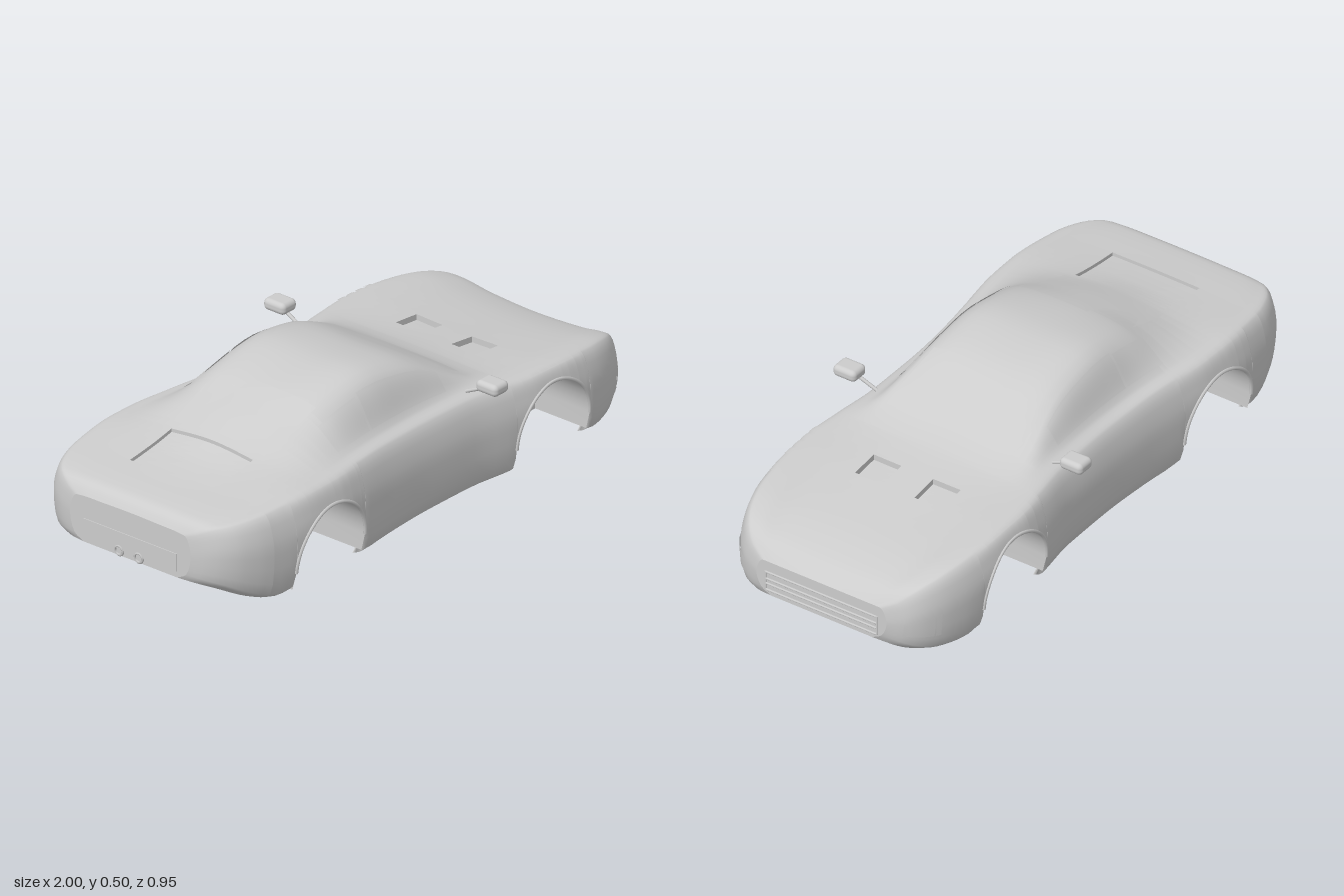
import * as THREE from 'three';
import { RoundedBoxGeometry } from 'three/addons/geometries/RoundedBoxGeometry.js';

const grey = new THREE.MeshStandardMaterial({ color: 0xcccccc, side: THREE.DoubleSide });
grey.name = 'body grey';

// smooth monotone interpolation through [x, value] pairs
function curve(p) {
  const n = p.length;
  const sec = i => (p[i + 1][1] - p[i][1]) / (p[i + 1][0] - p[i][0]);
  const slope = p.map((_, i) => {
    if (i === 0) return sec(0);
    if (i === n - 1) return sec(n - 2);
    const a = sec(i - 1), b = sec(i);
    return a * b <= 0 ? 0 : 2 * a * b / (a + b);
  });
  return x => {
    let i = 0;
    while (i < n - 2 && x > p[i + 1][0]) i++;
    const h = p[i + 1][0] - p[i][0], t = (x - p[i][0]) / h, t2 = t * t, t3 = t2 * t;
    return p[i][1] * (2 * t3 - 3 * t2 + 1) + slope[i] * h * (t3 - 2 * t2 + t)
      + p[i + 1][1] * (3 * t2 - 2 * t3) + slope[i + 1] * h * (t3 - t2);
  };
}

// lengthwise curves: half width, lower edge, fender, belt, roof edge and centre line
const width = curve([[-1, .22], [-.98, .295], [-.95, .345], [-.9, .385], [-.8, .42], [-.6, .44], [-.5, .438], [-.35, .42],
  [-.2, .402], [0, .392], [.2, .395], [.35, .415], [.5, .432], [.6, .432], [.75, .42], [.85, .395], [.92, .36], [.97, .31], [1, .23]]);
const sill = curve([[-1, .12], [-.95, .1], [-.85, .05], [-.75, .02], [-.7, .025], [-.36, .012], [-.3, .005], [.3, .005],
  [.72, .012], [.78, .002], [.88, .01], [.95, .03], [1, .062]]);
const fender = curve([[-1, .262], [-.97, .297], [-.95, .307], [-.8, .322], [-.6, .332], [-.3, .328], [-.1, .32], [.2, .315],
  [.4, .31], [.6, .303], [.8, .283], [.9, .26], [.95, .233], [1, .172]]);
const belt = curve([[-1, .268], [-.97, .305], [-.95, .314], [-.8, .33], [-.6, .343], [-.3, .345], [0, .343], [.2, .338],
  [.3, .33], [.4, .32], [.6, .308], [.8, .288], [.9, .262], [.95, .235], [1, .174]]);
const roofEdge = curve([[-1, .27], [-.97, .308], [-.95, .317], [-.75, .338], [-.6, .36], [-.45, .405], [-.3, .46], [-.13, .485],
  [0, .468], [.07, .45], [.2, .39], [.31, .338], [.4, .318], [.6, .298], [.8, .272], [.9, .247], [.95, .225], [1, .174]]);
const roofZ = curve([[-1, .1], [-.95, .17], [-.8, .2], [-.6, .2], [-.45, .21], [-.13, .225], [.07, .235], [.3, .27],
  [.4, .25], [.8, .23], [.95, .2], [1, .12]]);
const centre = curve([[-1, .272], [-.97, .309], [-.95, .318], [-.8, .335], [-.7, .35], [-.6, .378], [-.45, .432], [-.3, .477],
  [-.13, .497], [0, .483], [.07, .465], [.2, .402], [.31, .345], [.4, .32], [.6, .29], [.8, .26], [.9, .235], [.95, .215], [1, .172]]);

// cross-section spline at x; parameter k runs 0 (lower lip) to 7 (centre line), 8 is the far roof edge
const cache = new Map();
function at(x, k) {
  if (!cache.has(x)) {
    const w = width(x), s = sill(x), f = fender(x), zr = roofZ(x), r = roofEdge(x), mid = s + (f - s) * .55;
    cache.set(x, new THREE.CatmullRomCurve3([[w - .055, s], [w - .018, s + .022], [w, mid], [w * .98, mid + (f - mid) * .55],
      [w * .92, f], [w * .8, belt(x)], [zr, r], [0, centre(x)], [-zr, r]].map(([z, y]) => new THREE.Vector3(x, y, z))));
  }
  return cache.get(x).getPoint(k / 8);
}
function solve(lo, hi, below) {
  for (let i = 0; i < 30; i++) {
    const m = (lo + hi) / 2;
    if (below(m)) lo = m; else hi = m;
  }
  return (lo + hi) / 2;
}

// wheel arches
const R = .172, AY = .097, arches = [-.533, .545];
function startK(x) {
  const c = arches.find(a => Math.abs(x - a) < R + 1e-6);
  if (c === undefined) return 0;
  const y = AY + Math.sqrt(Math.max(0, R * R - (x - c) ** 2));
  return solve(0, 4, k => at(x, k).y < y);
}

// full section, left lower edge over the roof to right lower edge
function section(x) {
  const k0 = startK(x), half = [];
  for (let i = 0; i <= 12; i++) half.push(at(x, k0 + (4 - k0) * i / 12));
  for (let i = 1; i <= 10; i++) half.push(at(x, 4 + i / 5));
  const zr = roofZ(x), s = Math.min(1, zr / .2);
  for (const z of [(zr + .165 * s) / 2, .165 * s, .13 * s, .095 * s, .06 * s, .03 * s, 0])
    half.push(at(x, z === 0 ? 7 : solve(6, 7, k => at(x, k).z > z)));
  const m = half.slice(0, -1).reverse().map(p => new THREE.Vector3(p.x, p.y, -p.z));
  return half.concat(m);
}

// surface through rows of points, skipping chosen cells
function grid(rows, flat = false, skip = () => false) {
  const n = rows[0].length, idx = [];
  for (let i = 0; i < rows.length - 1; i++) for (let j = 0; j < n - 1; j++) {
    if (skip(i, j)) continue;
    const a = i * n + j, b = a + n;
    idx.push(a, b, a + 1, b, b + 1, a + 1);
  }
  let g = new THREE.BufferGeometry().setFromPoints(rows.flat());
  g.setIndex(idx);
  if (flat) g = g.toNonIndexed();
  g.computeVertexNormals();
  return g;
}

export function createModel() {
  const car = new THREE.Group();
  car.name = 'sportsCarBody';
  const add = (name, geo) => {
    const m = new THREE.Mesh(geo, grey);
    m.name = name;
    car.add(m);
    return m;
  };

  // body stations, denser at the ends and around the arches
  const END = .994;
  let xs = [.48, .58, -.8, -.6];
  for (let i = -32; i <= 32; i++) xs.push(END * Math.sin(i / 32 * Math.PI / 2));
  for (const c of arches) {
    for (let i = 0; i <= 20; i++) xs.push(c + R * Math.cos(i * Math.PI / 20));
    xs.push(c - R - .0005, c + R + .0005);
  }
  xs = xs.sort((a, b) => a - b).filter((x, i, a) => i === 0 || x - a[i - 1] > 1e-5);
  const rows = xs.map(section);

  // sunken panels: row range, column range, depth
  const recesses = [['leftHoodScoop', .48, .58, 24, 27, .02], ['rightHoodScoop', .48, .58, 31, 34, .02],
    ['rearDeckPanel', -.8, -.6, 24, 34, .012]]
    .map(([name, a, b, j0, j1, d]) => ({ name, i0: xs.indexOf(a), i1: xs.indexOf(b), j0, j1, d }));
  add('bodyShell', grid(rows, false, (i, j) => recesses.some(r => i >= r.i0 && i < r.i1 && j >= r.j0 && j < r.j1)));
  for (const { name, i0, i1, j0, j1, d } of recesses) {
    const sub = [];
    for (let i = i0 - 1; i <= i1 + 1; i++) {
      const row = [];
      for (let j = j0 - 1; j <= j1 + 1; j++) {
        const p = rows[THREE.MathUtils.clamp(i, i0, i1)][THREE.MathUtils.clamp(j, j0, j1)].clone();
        if (i >= i0 && i <= i1 && j >= j0 && j <= j1) p.y -= d;
        row.push(p);
      }
      sub.push(row);
    }
    add(name, grid(sub, true));
  }

  // closed nose and tail
  const flatten = row => row.map(p => new THREE.Vector3(p.x, p.y, 0));
  const last = rows[rows.length - 1];
  add('noseFace', grid([last, flatten(last)], true));
  add('tailFace', grid([flatten(rows[0]), rows[0]], true));

  // thin panels lying on the body surface
  function panel(name, xa, xb, ka, kb, sides) {
    for (const s of sides) {
      const pts = [];
      for (let i = 0; i <= 8; i++) {
        const row = [], x = xa + (xb - xa) * i / 8;
        for (let j = 0; j <= 12; j++) {
          const k = ka + (kb - ka) * j / 12, p = at(x, k);
          const n = at(x + .002, k).sub(p).cross(at(x, k + .02).sub(p)).normalize();
          p.addScaledVector(n, .003);
          p.z *= s;
          row.push(p);
        }
        pts.push(row);
      }
      if (s < 0) pts.reverse();
      add(name, grid(pts));
    }
  }
  panel('windshield', .075, .285, 6.08, 7.92, [1]);
  panel('rearWindow', -.57, -.34, 6.08, 7.92, [1]);
  panel('doorWindow', -.2, .16, 5.15, 5.85, [1, -1]);
  panel('quarterWindow', -.38, -.21, 5.15, 5.8, [1, -1]);
  panel('headlight', .905, .975, 1.45, 2.15, [1, -1]);
  panel('turnSignal', .885, .901, 1.45, 2.15, [1, -1]);
  for (let i = 0; i < 4; i++) panel('fenderLouver', .47 + i * .043, .5 + i * .043, 4, 5.15, [1, -1]);

  // wheel wells with inner walls and arch lips
  for (const c of arches) for (const s of [1, -1]) {
    const arc = [];
    for (let i = 0; i <= 20; i++) {
      const a = Math.PI * i / 20, x = c + R * Math.cos(a);
      arc.push(new THREE.Vector3(x, AY + R * Math.sin(a), s * at(x, startK(x)).z));
    }
    const drop = p => new THREE.Vector3(p.x, .035, p.z - s * .015);
    const outer = [drop(arc[0]), ...arc, drop(arc[20])];
    const inner = outer.map(p => new THREE.Vector3(p.x, p.y, s * .2));
    add('wheelWell', grid(s > 0 ? [inner, outer] : [outer, inner]));
    const wall = add('wheelWellWall', new THREE.ShapeGeometry(new THREE.Shape(outer.map(p => new THREE.Vector2(p.x, p.y)))));
    wall.position.z = s * .2;
    add('archLip', new THREE.TubeGeometry(new THREE.CatmullRomCurve3(arc), 40, .006, 6));
  }

  // door mirrors on short stalks
  for (const s of [1, -1]) {
    add('mirror', new RoundedBoxGeometry(.07, .04, .086, 4, .016)).position.set(.237, .38, s * .43);
    add('mirrorStalk', new THREE.TubeGeometry(new THREE.LineCurve3(
      new THREE.Vector3(.225, .335, s * .335), new THREE.Vector3(.232, .37, s * .41)), 1, .006, 8));
  }

  // grille surround and bars
  for (const y of [.077, .1, .118, .143])
    add('grilleBar', new RoundedBoxGeometry(.016, .006, .42, 2, .002)).position.set(.991, y, 0);
  for (const s of [1, -1])
    add('grilleEnd', new RoundedBoxGeometry(.016, .07, .006, 2, .002)).position.set(.989, .11, s * .212);

  // tail panel and twin exhausts
  add('tailPanel', new THREE.BoxGeometry(.006, .06, .38)).position.set(-.994, .17, 0);
  for (const z of [-.045, .035]) {
    const pipe = new THREE.LatheGeometry([[.012, -.03], [.012, .028], [.016, .03], [.02, .026], [.02, -.03]]
      .map(([r, y]) => new THREE.Vector2(r, y)), 20);
    pipe.rotateZ(Math.PI / 2);
    add('exhaust', pipe).position.set(-.97, .135, z);
  }
  return car;
}
